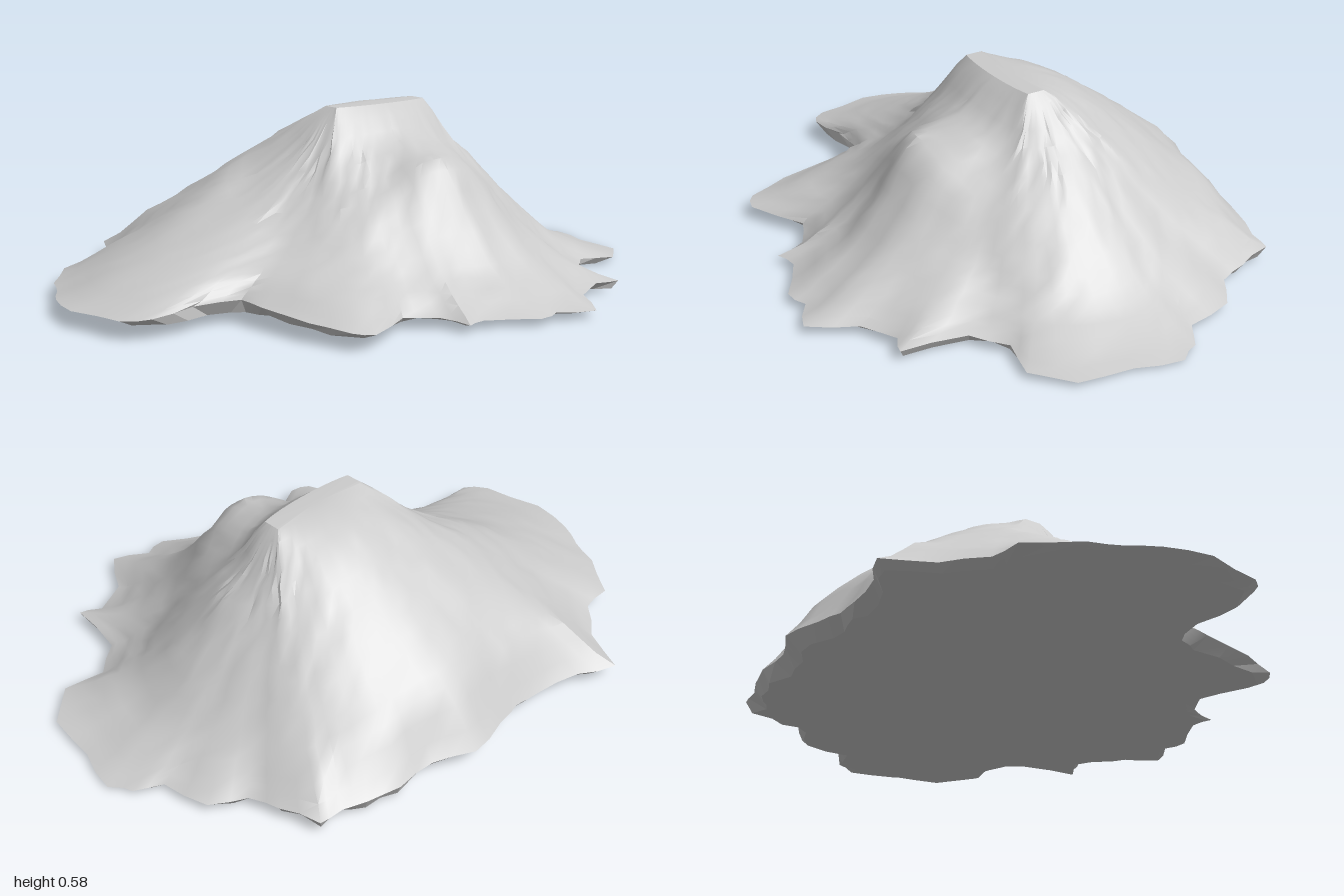
import * as THREE from 'three';
import { toCreasedNormals } from 'three/addons/utils/BufferGeometryUtils.js';

const { lerp, clamp, radToDeg } = THREE.MathUtils;

// Ragged foot of the mountain, as x, z pairs
const OUTLINE = [
  1, -0.05, 0.96, -0.12, 0.88, -0.17, 0.85, -0.33, 0.75, -0.4, 0.72, -0.5, 0.68, -0.63,
  0.6, -0.64, 0.53, -0.67, 0.42, -0.7, 0.28, -0.7, 0.15, -0.76, 0, -0.73, -0.1, -0.71,
  -0.2, -0.72, -0.36, -0.75, -0.48, -0.81, -0.55, -0.66, -0.66, -0.56, -0.77, -0.55,
  -0.88, -0.41, -0.92, -0.31, -0.97, -0.22, -1, -0.07, -0.95, 0.13, -0.88, 0.19,
  -0.73, 0.17, -0.58, 0.2, -0.57, 0.29, -0.54, 0.48, -0.49, 0.62, -0.43, 0.65,
  -0.25, 0.55, -0.15, 0.6, -0.12, 0.7, -0.05, 0.68, 0.1, 0.77, 0.18, 0.75, 0.29, 0.81,
  0.38, 0.67, 0.5, 0.61, 0.57, 0.64, 0.6, 0.43, 0.7, 0.35, 0.83, 0.38, 0.94, 0.28, 0.96, 0.1,
];

// Slope heights from summit to foot, by compass angle (0 = +x, 90 = +z)
const SLOPES = [
  [0, [0.58, 0.46, 0.38, 0.28, 0.18, 0.09, 0.04, 0.005]],
  [45, [0.58, 0.46, 0.37, 0.28, 0.19, 0.12, 0.07, 0.04]],
  [68, [0.58, 0.48, 0.43, 0.36, 0.24, 0.15, 0.08, 0.025]],
  [78, [0.58, 0.49, 0.45, 0.42, 0.27, 0.15, 0.08, 0.025]],
  [96, [0.58, 0.49, 0.45, 0.42, 0.27, 0.15, 0.08, 0.025]],
  [108, [0.58, 0.48, 0.41, 0.34, 0.24, 0.15, 0.08, 0.03]],
  [130, [0.58, 0.47, 0.37, 0.28, 0.2, 0.14, 0.1, 0.05]],
  [162, [0.58, 0.46, 0.35, 0.26, 0.2, 0.16, 0.12, 0.08]],
  [185, [0.58, 0.45, 0.35, 0.27, 0.21, 0.155, 0.1, 0.05]],
  [203, [0.58, 0.47, 0.38, 0.335, 0.26, 0.18, 0.11, 0.045]],
  [215, [0.58, 0.49, 0.41, 0.35, 0.27, 0.19, 0.12, 0.05]],
  [240, [0.58, 0.54, 0.48, 0.41, 0.34, 0.26, 0.17, 0.045]],
  [270, [0.58, 0.56, 0.51, 0.45, 0.38, 0.31, 0.22, 0.06]],
  [292, [0.58, 0.55, 0.5, 0.43, 0.36, 0.28, 0.2, 0.06]],
  [315, [0.58, 0.52, 0.44, 0.36, 0.28, 0.2, 0.13, 0.05]],
  [360, [0.58, 0.46, 0.38, 0.28, 0.18, 0.09, 0.04, 0.005]],
];

const RINGS = 18;

function seeded(seed) {
  return () => {
    seed = (seed * 16807) % 2147483647;
    return seed / 2147483647 - 0.5;
  };
}

// Smooth height along one slope profile
function along(profile, t) {
  const f = t * (profile.length - 1);
  const i = Math.min(Math.floor(f), profile.length - 2);
  const at = (k) => profile[clamp(k, 0, profile.length - 1)];
  const u = f - i, a = at(i - 1), b = at(i), c = at(i + 1), d = at(i + 2);
  return b + 0.5 * u * (c - a + u * (2 * a - 5 * b + 4 * c - d + u * (3 * (b - c) + d - a)));
}

function slopeHeight(angle, t) {
  const i = SLOPES.findIndex((s, k) => k > 0 && angle <= s[0]);
  const [a, low] = SLOPES[i - 1];
  const [b, high] = SLOPES[i];
  return lerp(along(low, t), along(high, t), (angle - a) / (b - a));
}

// Height blended over neighbouring directions, so ribs stay rounded
function heightAt(angle, t) {
  const near = [-7, 0, 0, 7].map((step) => slopeHeight((angle + step + 360) % 360, t));
  return near.reduce((sum, h) => sum + h) / near.length;
}

// Outline with a slightly broken point between each pair of corners
function rimPoints(random) {
  const points = [];
  const n = OUTLINE.length;
  for (let i = 0; i < n; i += 2) {
    const x = OUTLINE[i], z = OUTLINE[i + 1];
    const x2 = OUTLINE[(i + 2) % n], z2 = OUTLINE[(i + 3) % n];
    points.push([x, z]);
    points.push([(x + x2) / 2 + random() * 0.02, (z + z2) / 2 + random() * 0.02]);
  }
  return points;
}

// Outline with its notches averaged away, to guide the upper slopes
function smoothed(points, reach) {
  const n = points.length;
  return points.map((_, i) => {
    let x = 0, z = 0;
    for (let k = -reach; k <= reach; k++) {
      const p = points[(i + k + n) % n];
      x += p[0];
      z += p[1];
    }
    return [x / (2 * reach + 1), z / (2 * reach + 1)];
  });
}

function meshFrom(name, positions, indices, crease) {
  const geometry = new THREE.BufferGeometry();
  geometry.setAttribute('position', new THREE.Float32BufferAttribute(positions, 3));
  geometry.setIndex(indices);
  const material = new THREE.MeshStandardMaterial({ color: 0xcccccc, side: THREE.DoubleSide });
  const mesh = new THREE.Mesh(toCreasedNormals(geometry, crease), material);
  mesh.name = name;
  return mesh;
}

export function createModel() {
  const random = seeded(71);
  const rim = rimPoints(random);
  const guide = smoothed(rim, 5);
  const n = rim.length;

  // Mountain surface: rings spreading from the short summit ridge to the foot
  const slope = [], slopeFaces = [];
  for (let r = 0; r <= RINGS; r++) {
    const t = r / RINGS;
    const notch = t ** 4;
    const rough = r > 1 && r < RINGS ? 0.009 : 0;
    rim.forEach(([x, z], i) => {
      const [gx, gz] = guide[i];
      const turn = Math.atan2(gz, gx - 0.05);
      const ridgeX = 0.095 + 0.18 * clamp(Math.cos(turn) * 1.3, -1, 1);
      const ridgeZ = -0.01 + 0.045 * Math.sin(turn);
      slope.push(
        lerp(ridgeX, gx, t) + (x - gx) * notch + random() * rough,
        heightAt((radToDeg(turn) + 360) % 360, t) + random() * rough * 0.6,
        lerp(ridgeZ, gz, t) + (z - gz) * notch + random() * rough,
      );
    });
  }
  for (let r = 0; r < RINGS; r++) {
    for (let i = 0; i < n; i++) {
      const j = (i + 1) % n;
      const a = r * n + i, b = r * n + j, c = a + n, d = b + n;
      slopeFaces.push(a, b, c, b, d, c);
    }
  }
  // Summit
  const top = slope.length / 3;
  slope.push(0.095, 0.582, -0.02);
  for (let i = 0; i < n; i++) slopeFaces.push(top, (i + 1) % n, i);
  // Outline runs clockwise from above, so turn faces outward
  slopeFaces.reverse();
  for (let i = 0; i < slopeFaces.length; i += 3) {
    const [a, b, c] = slopeFaces.slice(i, i + 3);
    const ax = slope[a * 3], az = slope[a * 3 + 2];
    const up = (slope[b * 3 + 2] - az) * (slope[c * 3] - ax) - (slope[b * 3] - ax) * (slope[c * 3 + 2] - az);
    if (up < 0) [slopeFaces[i + 1], slopeFaces[i + 2]] = [c, b];
  }

  // Underside: a broken, undercut edge and a nearly level base
  const base = [], baseFaces = [];
  rim.forEach(([x, z], i) => {
    const y = slope[(RINGS * n + i) * 3 + 1];
    const inset = 0.95 + random() * 0.06;
    base.push(x, y, z, x * inset, Math.min(y, 0.02 - 0.02 * x), z * inset);
  });
  base.push(0, 0.02, 0);
  for (let i = 0; i < n; i++) {
    const a = i * 2, b = ((i + 1) % n) * 2;
    baseFaces.push(a, b, a + 1, b, b + 1, a + 1, a + 1, b + 1, 2 * n);
  }

  const group = new THREE.Group();
  group.name = 'mountain';
  group.add(meshFrom('slopes', slope, slopeFaces, 0.6), meshFrom('underside', base, baseFaces, 0.3));
  return group;
}
